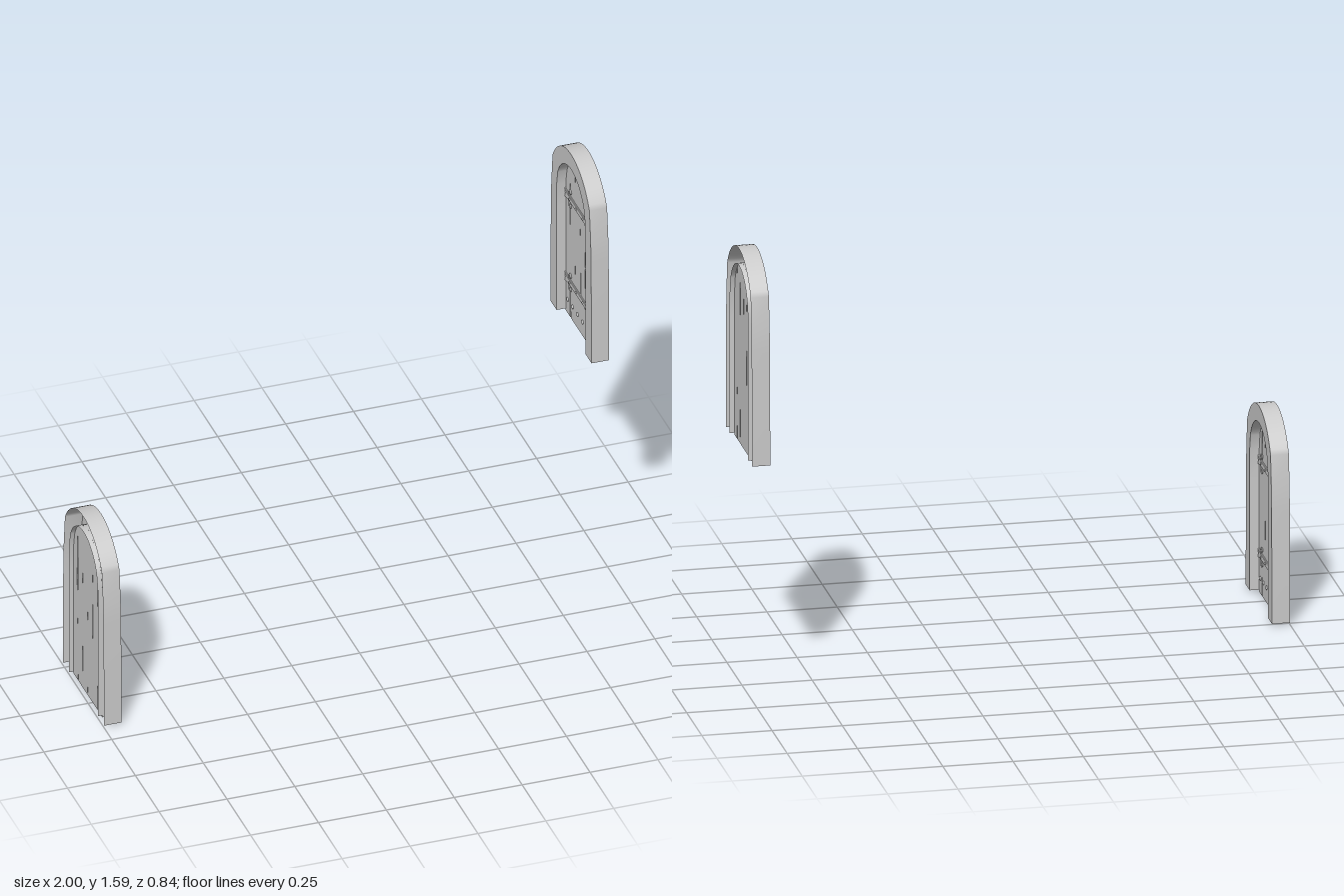
import * as THREE from 'three';

const mat = new THREE.MeshStandardMaterial({ color: 0xcccccc, side: THREE.DoubleSide });
const DEPTH = 0.065;   // frame depth, back at z = 0
const FACE = 0.031;    // front surface of the planks

function add(parent, name, geo, x = 0, y = 0, z = 0) {
  const m = new THREE.Mesh(geo, mat);
  m.name = name;
  m.position.set(x, y, z);
  parent.add(m);
  return m;
}

// Half outline: leg points followed by an arc to the top, then mirrored
function archLine(leg, cy, r, start) {
  const half = leg.map(([x, y]) => [x, y]);
  for (let i = 0; i <= 12; i++) {
    const a = start + (Math.PI / 2 - start) * i / 12;
    half.push([r * Math.cos(a), cy + r * Math.sin(a)]);
  }
  const other = half.slice(0, -1).reverse().map(([x, y]) => [-x, y]);
  return half.concat(other);
}

// Strip of quads between two lines of equal length
function ribbon(a, za, b, zb) {
  const pos = [], idx = [];
  a.forEach((p, i) => {
    pos.push(p[0], p[1], za, b[i][0], b[i][1], zb);
    if (i) {
      const k = 2 * i;
      idx.push(k - 2, k, k - 1, k - 1, k, k + 1);
    }
  });
  const g = new THREE.BufferGeometry();
  g.setAttribute('position', new THREE.Float32BufferAttribute(pos, 3));
  g.setIndex(idx);
  g.computeVertexNormals();
  return g;
}

function buildFrame(door) {
  const outer = archLine([[0.218, 0.008], [0.216, 0.2], [0.212, 0.42], [0.208, 0.5]], 0.516, 0.221, 0.49);
  const inner = archLine([[0.152, 0.008], [0.152, 0.2], [0.152, 0.42], [0.152, 0.525]], 0.523, 0.152, 0.4);
  const frame = new THREE.Group();
  frame.name = 'archFrame';
  add(frame, 'frameOuterWall', ribbon(outer, 0, outer, DEPTH));
  add(frame, 'frameFace', ribbon(outer, DEPTH, inner, DEPTH));
  add(frame, 'frameInnerWall', ribbon(inner, DEPTH, inner, 0));
  door.add(frame);
}

// Six uneven planks with narrow gaps, cut to the arch at the top
function buildPlanks(door) {
  const R = 0.153, rows = 9, t = 0.014;
  const top = x => 0.522 + Math.sqrt(Math.max(0, R * R - x * x));
  const seam = [-R, -0.105, -0.052, 0.002, 0.056, 0.108, R];
  const edge = (i, y, side) => {
    if (i === 0 || i === 6) return seam[i];
    const drift = 0.003 * Math.sin(y * 9 + i * 2.1);
    const gap = Math.max(0.0003, 0.0024 * Math.sin(y * 13 + i * 1.7) + (i % 4 === 1 ? 0.001 : -0.0005));
    return seam[i] + drift + side * gap;
  };
  for (let p = 0; p < 6; p++) {
    const pts = [];
    const hl = top(edge(p, 0.6, 1)), hr = top(edge(p + 1, 0.6, -1));
    for (let i = 0; i <= rows; i++) pts.push([edge(p + 1, hr * i / rows, -1), hr * i / rows]);
    const xl = edge(p, hl, 1), xr = edge(p + 1, hr, -1);
    for (let i = 1; i < 5; i++) {
      const x = xr + (xl - xr) * i / 5;
      pts.push([x, top(x)]);
    }
    for (let i = rows; i >= 0; i--) pts.push([edge(p, hl * i / rows, 1), hl * i / rows]);
    const shape = new THREE.Shape(pts.map(q => new THREE.Vector2(...q)));
    add(door, 'plank', new THREE.ExtrudeGeometry(shape, { depth: t, bevelEnabled: false }), 0, 0, FACE - t);
  }
}

// Strap hinge with a flared root, pointed tip and two curled leaves
function buildHinge(door, y) {
  const hinge = new THREE.Group();
  hinge.name = 'strapHinge';
  hinge.position.set(0, y, FACE - 0.001);
  const strap = new THREE.Shape([
    [-0.15, -0.016], [-0.115, -0.009], [0.055, -0.009], [0.06, -0.013], [0.075, 0],
    [0.06, 0.013], [0.055, 0.009], [-0.115, 0.009], [-0.15, 0.016], [-0.143, 0],
  ].map(q => new THREE.Vector2(...q)));
  add(hinge, 'strap', new THREE.ExtrudeGeometry(strap, {
    depth: 0.004, bevelEnabled: true, bevelSize: 0.002, bevelThickness: 0.002, bevelSegments: 1,
  }));
  for (const s of [1, -1]) {
    const curve = new THREE.CatmullRomCurve3([
      [-0.118, 0.006 * s, 0.003], [-0.107, 0.016 * s, 0.003],
      [-0.108, 0.029 * s, 0.003], [-0.096, 0.033 * s, 0.003], [-0.091, 0.025 * s, 0.003],
    ].map(q => new THREE.Vector3(...q)));
    add(hinge, 'hingeCurl', new THREE.TubeGeometry(curve, 12, 0.0035, 6));
    const leaf = add(hinge, 'hingeLeaf', new THREE.SphereGeometry(0.008, 10, 6), -0.096, 0.027 * s, 0.003);
    leaf.scale.z = 0.5;
  }
  for (const x of [-0.1, -0.03, 0.04]) {
    add(hinge, 'hingeRivet', new THREE.SphereGeometry(0.005, 8, 6), x, 0, 0.005);
  }
  door.add(hinge);
}

function buildHandle(door) {
  const handle = new THREE.Group();
  handle.name = 'handle';
  handle.position.set(0.133, 0.253, FACE);
  const grip = new THREE.CatmullRomCurve3([
    [0, -0.031, 0], [0, -0.026, 0.014], [0, 0, 0.022], [0, 0.026, 0.014], [0, 0.031, 0],
  ].map(q => new THREE.Vector3(...q)));
  add(handle, 'grip', new THREE.TubeGeometry(grip, 16, 0.005, 8));
  for (const s of [1, -1]) {
    add(handle, 'handleFoot', new THREE.BoxGeometry(0.012, 0.012, 0.004), 0, 0.031 * s, 0.001);
  }
  add(handle, 'keyhole', new THREE.TorusGeometry(0.005, 0.0015, 6, 12), 0, 0.081, 0.001);
  door.add(handle);
}

function buildDoor(name) {
  const door = new THREE.Group();
  door.name = name;
  buildFrame(door);
  buildPlanks(door);
  buildHinge(door, 0.488);
  buildHinge(door, 0.145);
  buildHandle(door);
  // Row of studs along the foot of the door
  for (let i = 0; i < 6; i++) {
    const stud = add(door, 'stud', new THREE.SphereGeometry(0.008, 10, 6), -0.131 + i * 0.0525, 0.057, FACE);
    stud.scale.z = 0.6;
  }
  return door;
}

export function createModel() {
  const model = new THREE.Group();
  model.name = 'pairOfArchedDoors';
  // Two identical doors face each other, one raised
  const lower = buildDoor('lowerDoor');
  lower.position.set(-1, 0, 0.2);
  lower.rotation.y = Math.PI / 2;
  const upper = buildDoor('upperDoor');
  upper.position.set(1, 0.851, -0.2);
  upper.rotation.y = -Math.PI / 2;
  model.add(lower, upper);
  return model;
}
